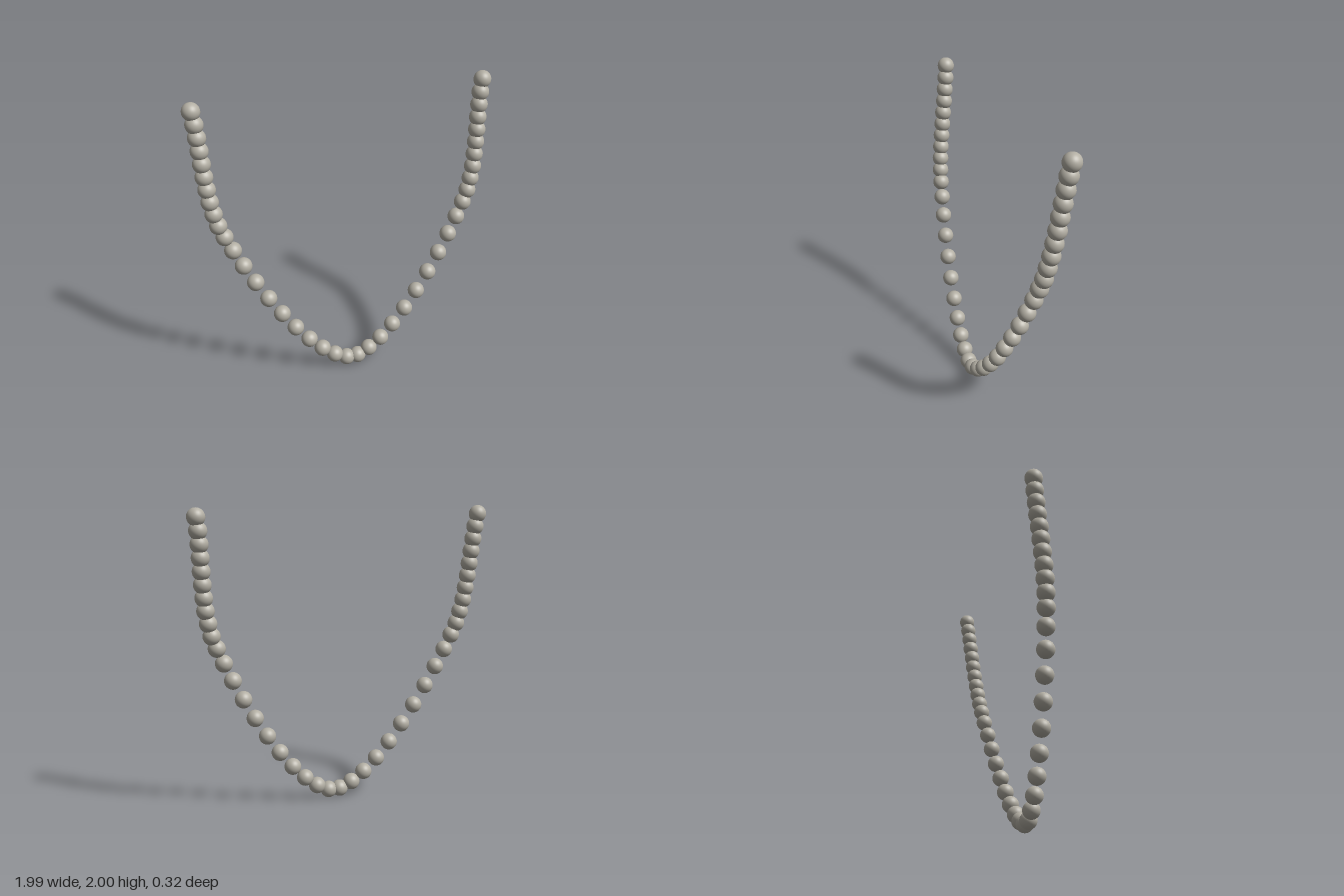
import * as THREE from 'three';

// Bead centres from the lowest bead up to the end, for one half of the strand
const HALF = [
  [0.04, 0.058, 0.105], [0.125, 0.098, 0.1], [0.212, 0.165, 0.094], [0.302, 0.257, 0.084],
  [0.393, 0.369, 0.073], [0.48, 0.495, 0.062], [0.564, 0.628, 0.049], [0.642, 0.764, 0.036],
  [0.711, 0.897, 0.023], [0.769, 1.017, 0.009], [0.814, 1.118, -0.002], [0.846, 1.2, -0.012],
  [0.867, 1.282, -0.022], [0.883, 1.364, -0.033], [0.893, 1.447, -0.044], [0.901, 1.53, -0.055],
  [0.907, 1.613, -0.065], [0.912, 1.696, -0.076], [0.918, 1.779, -0.086], [0.925, 1.861, -0.096],
  [0.936, 1.943, -0.105],
];
const RADIUS = 0.057;

export function createModel() {
  const model = new THREE.Group();
  model.name = 'beadStrand';

  const pearl = new THREE.MeshStandardMaterial({ color: 0xb3afa4 });
  pearl.name = 'pearl grey';
  const beadGeometry = new THREE.SphereGeometry(RADIUS, 32, 20);

  // Mirror the half strand to the left (+x) and right (-x)
  for (const [side, sign] of [['left', 1], ['right', -1]]) {
    const half = new THREE.Group();
    half.name = `${side}Strand`;
    HALF.forEach(([x, y, z], i) => {
      const bead = new THREE.Mesh(beadGeometry, pearl);
      bead.name = `${side}Bead${i + 1}`;
      bead.position.set(sign * x, y, z);
      half.add(bead);
    });
    model.add(half);
  }
  return model;
}
